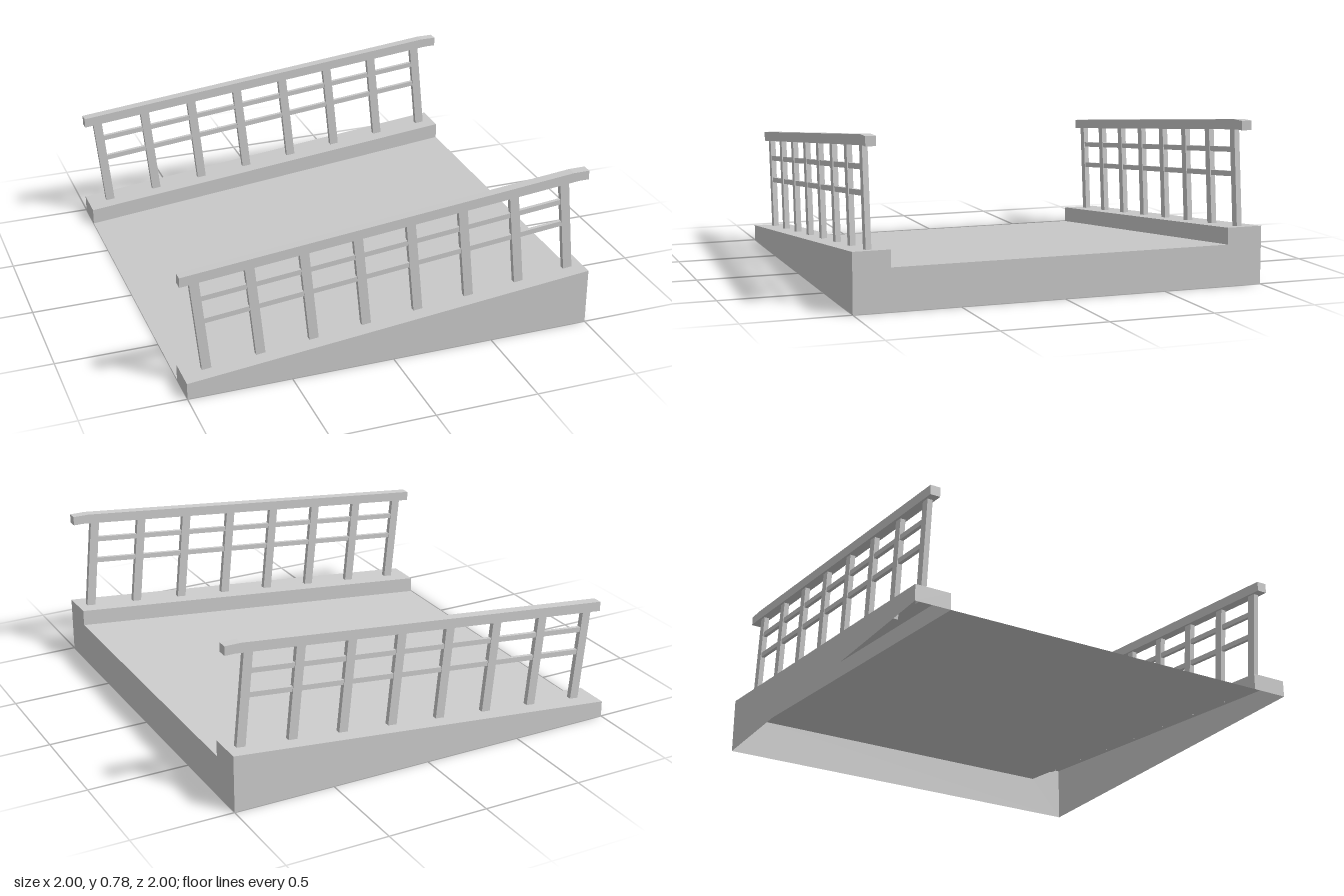
import * as THREE from 'three';

const material = new THREE.MeshStandardMaterial({ color: 0xcccccc, flatShading: true, side: THREE.DoubleSide });

const RISE = 0.2;                 // climb of the ramp over its length
const KERB_Z = 0.825, KERB_H = 0.08;
const RAIL_Z = 0.911;
const SLOPE = Math.atan(RISE / 2);

function add(parent, name, geometry, x = 0, y = 0, z = 0) {
  const mesh = new THREE.Mesh(geometry, material);
  mesh.name = name;
  mesh.position.set(x, y, z);
  parent.add(mesh);
  return mesh;
}

// Flat four-cornered surface, corners counter-clockwise from its front
function quad(a, b, c, d) {
  const g = new THREE.BufferGeometry();
  g.setAttribute('position', new THREE.Float32BufferAttribute([...a, ...b, ...c, ...a, ...c, ...d], 3));
  g.computeVertexNormals();
  return g;
}

// Sloping strip that follows the ramp between two points of its section
function strip([z0, y0, lift0], [z1, y1, lift1]) {
  return quad([-1, y0, z0], [1, y0 + lift0, z0], [1, y1 + lift1, z1], [-1, y1, z1]);
}

// Hollow ramp shell, open underneath
function buildRamp() {
  const ramp = new THREE.Group();
  ramp.name = 'ramp';
  // z, height at the low end, climb towards the high end
  const section = [
    [1, 0, 0], [1, KERB_H, RISE], [KERB_Z, KERB_H, RISE], [KERB_Z, 0, RISE],
    [-KERB_Z, 0, RISE], [-KERB_Z, KERB_H, RISE], [-1, KERB_H, RISE], [-1, 0, 0],
  ];
  const names = ['outerWallFront', 'kerbTopFront', 'kerbInnerFront', 'deck',
    'kerbInnerBack', 'kerbTopBack', 'outerWallBack'];
  names.forEach((name, i) => add(ramp, name, strip(section[i], section[i + 1])));

  // High end wall, with the kerbs standing above the deck
  const end = new THREE.Shape(section.map(([z, y, lift]) => new THREE.Vector2(-z, y + lift)));
  add(ramp, 'highEndWall', new THREE.ShapeGeometry(end), 1).rotation.y = Math.PI / 2;

  // Low ends of the two kerbs
  for (const [z0, z1] of [[-1, -KERB_Z], [KERB_Z, 1]]) {
    add(ramp, 'kerbLowEnd', quad([-1, 0, z0], [-1, 0, z1], [-1, KERB_H, z1], [-1, KERB_H, z0]));
  }
  return ramp;
}

// One railing: posts square to the slope, two thin bars and a handrail
function buildRailing(z) {
  const railing = new THREE.Group();
  railing.name = z > 0 ? 'frontRailing' : 'backRailing';

  const tilted = new THREE.Group();
  tilted.name = 'postsAndBars';
  tilted.position.set(0, KERB_H + RISE / 2, z);
  tilted.rotation.z = SLOPE;
  railing.add(tilted);

  const count = 8, first = -0.889, last = 0.931;
  for (let i = 0; i < count; i++) {
    const s = first + (last - first) * i / (count - 1);
    add(tilted, 'post', new THREE.BoxGeometry(0.045, 0.495, 0.026), s, 0.2175, 0);
  }
  for (const h of [0.248, 0.364]) {
    add(tilted, 'bar', new THREE.BoxGeometry(last - first, 0.025, 0.018), (first + last) / 2, h, 0);
  }

  // Handrail with upright ends, levelling out at the high end
  const side = new THREE.Shape([
    [-1, 0.54], [0.95, 0.737], [1, 0.737], [1, 0.782], [0.92, 0.782], [-1, 0.588],
  ].map(([x, y]) => new THREE.Vector2(x, y)));
  const depth = 0.049;
  add(railing, 'handrail', new THREE.ExtrudeGeometry(side, { depth, bevelEnabled: false }), 0, 0, z - depth / 2);
  return railing;
}

export function createModel() {
  const model = new THREE.Group();
  model.name = 'rampWithRailings';
  model.add(buildRamp(), buildRailing(RAIL_Z), buildRailing(-RAIL_Z));
  return model;
}
